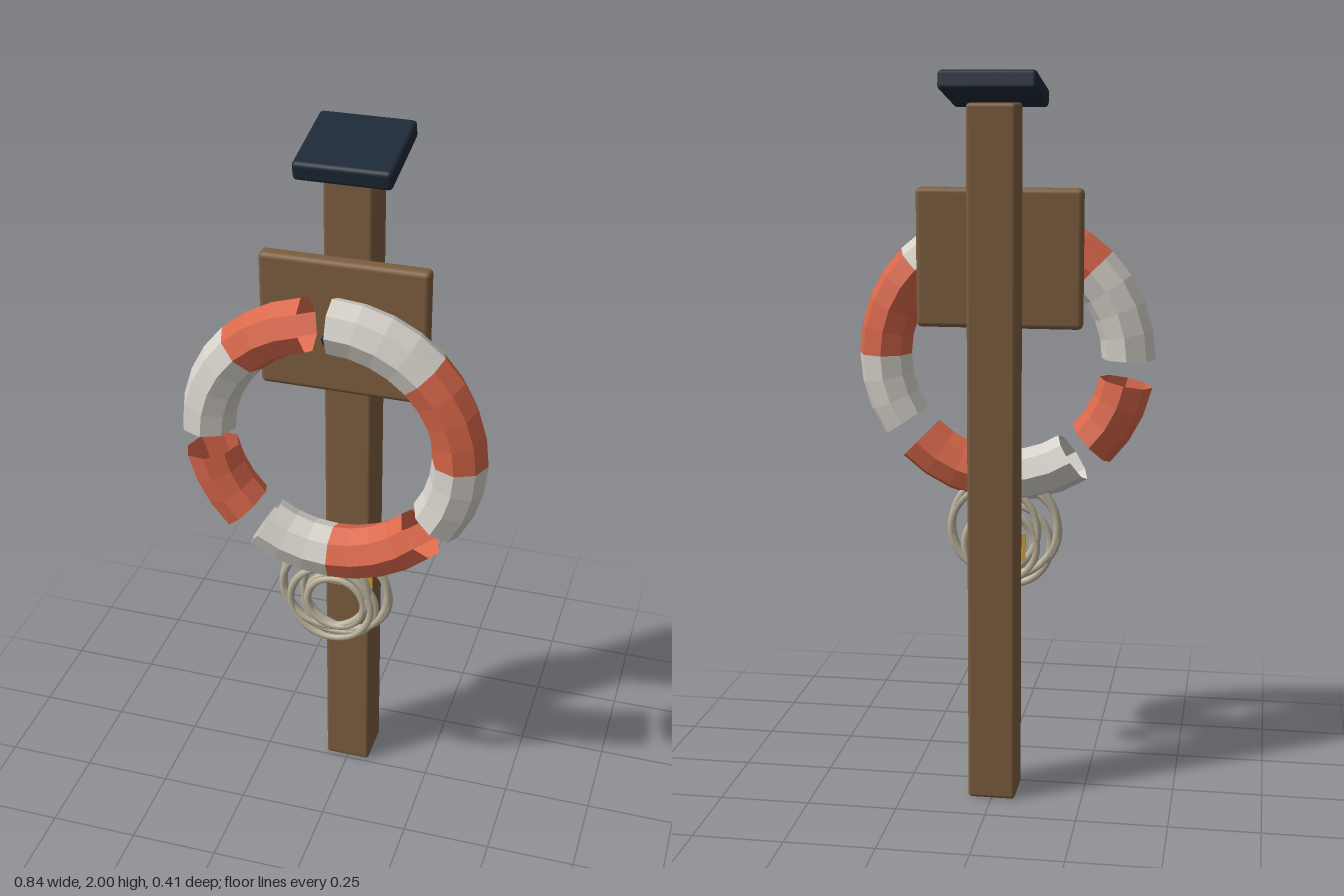
import * as THREE from 'three';
import { RoundedBoxGeometry } from 'three/addons/geometries/RoundedBoxGeometry.js';

const paint = (name, color, extra = {}) => {
  const m = new THREE.MeshStandardMaterial({ color, ...extra });
  m.name = name;
  return m;
};

export function createModel() {
  const wood = paint('brown wood', 0x7d5e3f);
  const navy = paint('dark navy', 0x1e2a38);
  const orange = paint('orange', 0xd9674a, { flatShading: true, side: THREE.DoubleSide });
  const white = paint('off white', 0xd6d2ca, { flatShading: true, side: THREE.DoubleSide });
  const rope = paint('beige rope', 0xbbb29c);
  const yellow = paint('yellow', 0xd0a03c);

  const model = new THREE.Group();
  const add = (name, geometry, material, x, y, z, parent = model) => {
    const mesh = new THREE.Mesh(geometry, material);
    mesh.name = name;
    mesh.position.set(x, y, z);
    parent.add(mesh);
    return mesh;
  };

  // Post, backboard and tilted cap
  add('post', new RoundedBoxGeometry(0.132, 1.915, 0.132, 2, 0.01), wood, 0, 0.9575, -0.075);
  add('backboard', new RoundedBoxGeometry(0.458, 0.38, 0.045, 2, 0.014), wood, 0, 1.5, 0.014);
  const cap = add('cap', new RoundedBoxGeometry(0.258, 0.052, 0.255, 2, 0.012), navy, 0, 1.95, -0.077);
  cap.rotation.x = 0.2;

  // Peg that carries the ring
  const peg = add('peg', new THREE.CylinderGeometry(0.019, 0.019, 0.135, 8), navy, 0, 1.535, 0.098);
  peg.rotation.x = Math.PI / 2;

  // Number plate on the post
  add('plate', new THREE.BoxGeometry(0.152, 0.08, 0.009), yellow, 0, 0.695, -0.0045);

  // Ring of open arcs: start step, number of steps (32 steps per turn), colour
  const ring = new THREE.Group();
  ring.name = 'lifeRing';
  ring.position.set(0, 1.215, 0.13);
  model.add(ring);
  const step = Math.PI / 16;
  [
    [0, 4, orange], [4, 4, white], [9, 3, orange], [12, 4, white],
    [17, 3, orange], [21, 3, white], [24, 4, orange], [29, 3, white],
  ].forEach(([start, count, material]) => {
    const arc = new THREE.TorusGeometry(0.345, 0.075, 8, count, count * step);
    add('ringSection', arc, material, 0, 0, 0, ring).rotation.z = start * step;
  });

  // Hanging coil of rope: x, y, radius, z
  const coil = new THREE.Group();
  coil.name = 'ropeCoil';
  model.add(coil);
  [
    [0, 0.676, 0.082, 0.112], [0.012, 0.667, 0.104, 0.105], [-0.014, 0.671, 0.118, 0.112],
    [0.03, 0.715, 0.125, 0.106], [-0.03, 0.715, 0.125, 0.11], [0, 0.727, 0.152, 0.108],
  ].forEach(([x, y, r, z]) => {
    add('ropeLoop', new THREE.TorusGeometry(r, 0.011, 8, 40), rope, x, y, z, coil);
  });

  return model;
}
